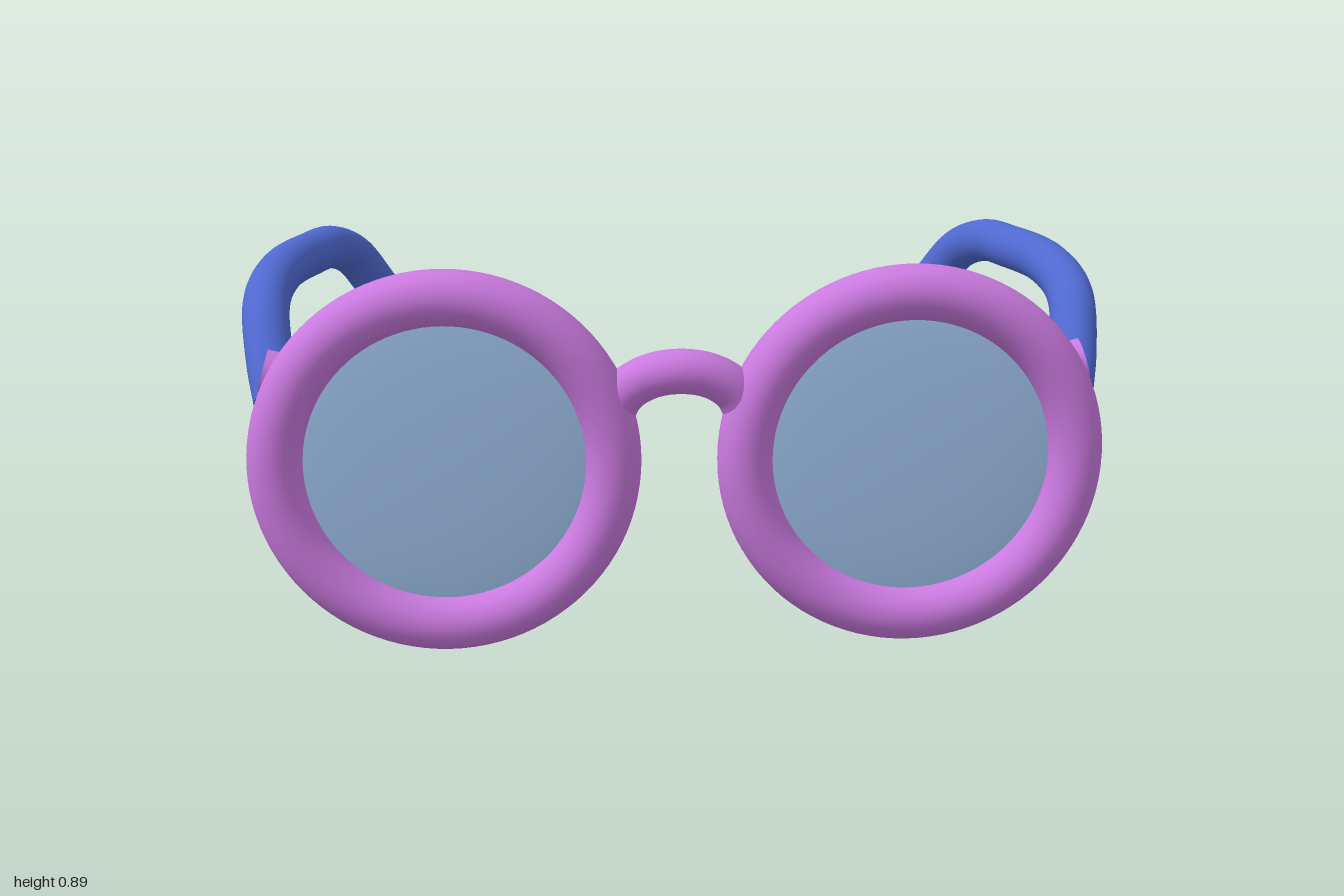
import * as THREE from 'three';

const V = (x, y, z) => new THREE.Vector3(x, y, z);

// Round bar along a smooth path, closed with a flat disc at each end
function bar(name, points, radius, material, segments = 48) {
  const group = new THREE.Group();
  group.name = name;
  const curve = new THREE.CatmullRomCurve3(points, false, 'centripetal');
  group.add(new THREE.Mesh(new THREE.TubeGeometry(curve, segments, radius, 32), material));
  for (const t of [0, 1]) {
    const cap = new THREE.Mesh(new THREE.CircleGeometry(radius, 32), material);
    const outward = curve.getTangent(t).multiplyScalar(t ? 1 : -1);
    cap.position.copy(curve.getPoint(t));
    cap.quaternion.setFromUnitVectors(V(0, 0, 1), outward);
    group.add(cap);
  }
  group.children.forEach((m, i) => { m.name = name + (i ? 'Cap' : 'Tube'); });
  return group;
}

export function createModel() {
  const model = new THREE.Group();
  model.name = 'glasses';
  const frame = new THREE.MeshStandardMaterial({ color: 0xcb7ae0 });
  frame.name = 'pink frame';
  const arm = new THREE.MeshStandardMaterial({ color: 0x4f69d0 });
  arm.name = 'blue arm';
  const glass = new THREE.MeshStandardMaterial({ color: 0x9abce4 });
  glass.name = 'pale blue lens';

  for (const side of [1, -1]) {
    const label = side > 0 ? 'left' : 'right';
    const P = (x, y, z) => V(side * x, y, z);

    // Rim
    const rim = new THREE.Mesh(new THREE.TorusGeometry(0.381, 0.0635, 32, 96), frame);
    rim.name = label + 'Rim';
    rim.position.set(side * 0.531, 0.4465, 0.422);
    model.add(rim);

    // Lens, gently domed on both faces
    const lens = new THREE.Mesh(new THREE.SphereGeometry(0.36, 64, 32), glass);
    lens.name = label + 'Lens';
    lens.scale.z = 0.06;
    lens.position.copy(rim.position);
    model.add(lens);

    // Hinge stub, lying crosswise behind the rim and running into the arm
    model.add(bar(label + 'Hinge', [P(0.845, 0.622, 0.362), P(0.938, 0.648, 0.367)], 0.056, frame, 4));

    // Arm, sweeping up and back, then hooking down and inward
    model.add(bar(label + 'Arm', [
      P(0.905, 0.59, 0.384), P(0.925, 0.662, 0.322), P(0.945, 0.768, 0.2),
      P(0.932, 0.814, 0.02), P(0.882, 0.823, -0.18), P(0.843, 0.822, -0.28),
      P(0.795, 0.782, -0.375), P(0.738, 0.684, -0.444),
    ], 0.054, arm, 72));
  }

  // Bridge arching over the nose
  model.add(bar('bridge', [
    V(-0.155, 0.55, 0.412), V(-0.125, 0.605, 0.42), V(-0.07, 0.642, 0.43), V(0, 0.655, 0.437),
    V(0.07, 0.642, 0.43), V(0.125, 0.605, 0.42), V(0.155, 0.55, 0.412),
  ], 0.051, frame));

  return model;
}
